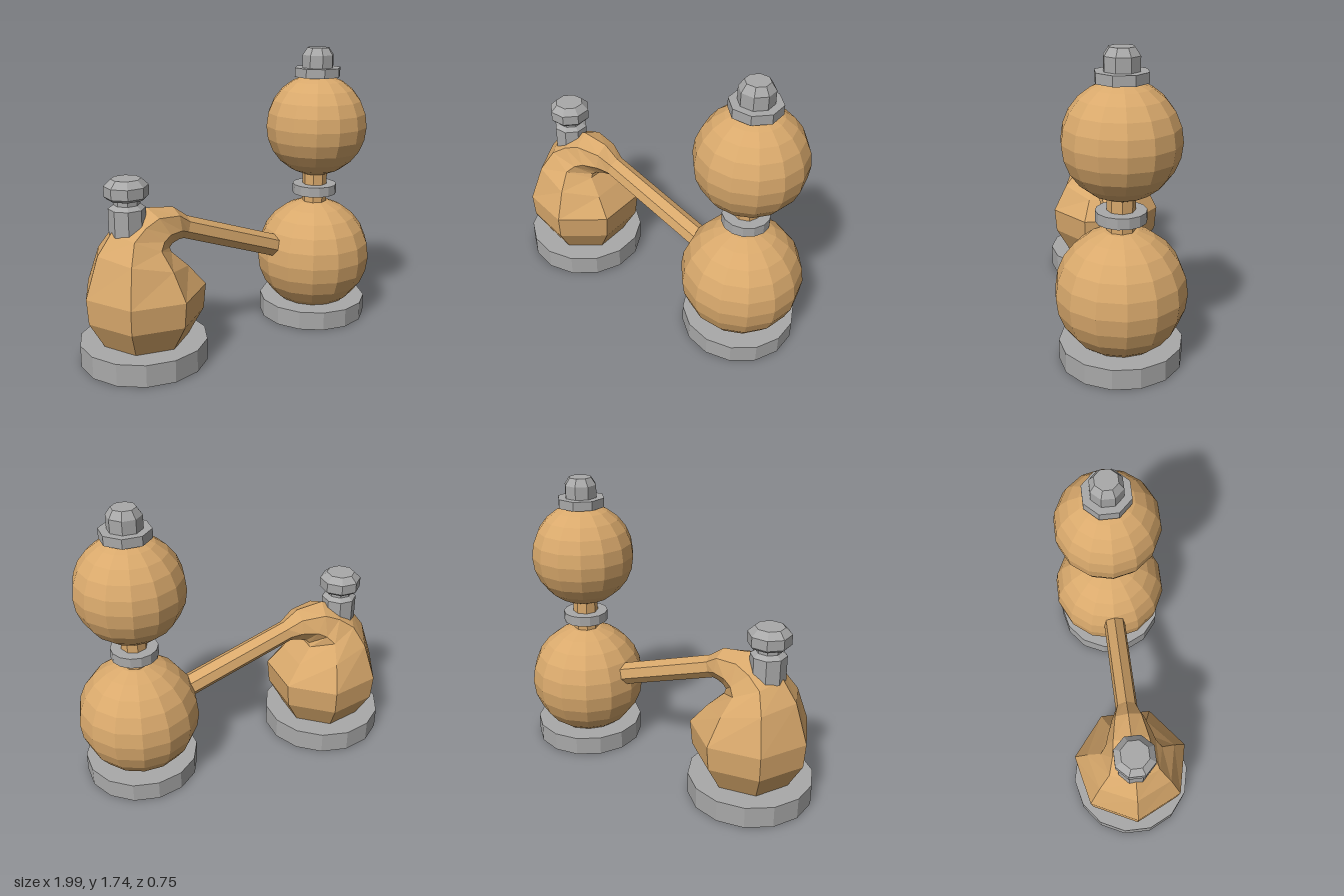
import * as THREE from 'three';

export function createModel() {
  const copper = new THREE.MeshStandardMaterial({ color: 0xd9a96c, flatShading: true });
  copper.name = 'copper';
  const steel = new THREE.MeshStandardMaterial({ color: 0xa9a9a9, flatShading: true });
  steel.name = 'steel';

  const model = new THREE.Group();
  model.name = 'still';
  const RETORT_X = -0.63, BOILER_X = 0.63;

  const add = (name, geometry, material, x = 0, y = 0) => {
    const mesh = new THREE.Mesh(geometry, material);
    mesh.name = name;
    mesh.position.set(x, y, 0);
    model.add(mesh);
    return mesh;
  };

  // Turned part from a [radius, height] profile, listed from bottom to top
  const turned = (profile, sides) => new THREE.LatheGeometry(
    profile.map(([r, y]) => new THREE.Vector2(r, y)), sides, Math.PI / sides);

  const disc = (radius, y0, y1, sides) =>
    new THREE.CylinderGeometry(radius, radius, y1 - y0, sides).translate(0, (y0 + y1) / 2, 0);

  // Seven-sided tube lofted between outer and inner outline points [ox, oy, ix, iy]
  const loft = (outline, sides = 7) => {
    const positions = [], index = [];
    const span = 1 + Math.cos(Math.PI / sides);
    for (const [ox, oy, ix, iy] of outline) {
      const r = Math.hypot(ox - ix, oy - iy) / span;
      const cx = ox + (ix - ox) / span, cy = oy + (iy - oy) / span;
      for (let j = 0; j < sides; j++) {
        const a = (j / sides) * Math.PI * 2;
        positions.push(cx + (ox - cx) * Math.cos(a), cy + (oy - cy) * Math.cos(a), r * Math.sin(a));
      }
    }
    for (let i = 0; i < outline.length - 1; i++) {
      for (let j = 0; j < sides; j++) {
        const k = (j + 1) % sides;
        const a = i * sides + j, b = i * sides + k, c = b + sides, d = a + sides;
        index.push(a, b, c, a, c, d);
      }
    }
    const geometry = new THREE.BufferGeometry();
    geometry.setAttribute('position', new THREE.Float32BufferAttribute(positions, 3));
    geometry.setIndex(index);
    geometry.computeVertexNormals();
    return geometry;
  };

  // Retort: pot that bends over into a slim pipe ending inside the boiler
  add('retortBase', disc(0.375, 0, 0.132, 14), steel, RETORT_X);
  add('retort', loft([
    [-0.875, 0.12, -0.40, 0.12],
    [-0.97, 0.29, -0.31, 0.29],
    [-0.98, 0.44, -0.297, 0.44],
    [-0.90, 0.68, -0.39, 0.56],
    [-0.81, 0.80, -0.48, 0.65],
    [-0.70, 0.87, -0.482, 0.672],
    [-0.59, 0.912, -0.46, 0.69],
    [-0.42, 0.89, -0.41, 0.70],
    [-0.325, 0.82, -0.369, 0.698],
    [0.40, 0.557, 0.356, 0.43],
  ]), copper);

  // Valve bolt on the retort shoulder
  add('retortValve', turned([
    [0, 0.78], [0.105, 0.78], [0.105, 0.93], [0.075, 0.952], [0.075, 0.975],
    [0.11, 0.985], [0.125, 1.0], [0.125, 1.06], [0.085, 1.098], [0, 1.098],
  ], 8), steel, -0.71);

  // Boiler: two stacked globes joined by a collared neck
  add('boilerBase', disc(0.345, 0, 0.117, 14), steel, BOILER_X);
  add('lowerGlobe', new THREE.SphereGeometry(0.366, 14, 12), copper, BOILER_X, 0.41);
  add('neck', disc(0.078, 0.74, 0.97, 8), copper, BOILER_X);
  add('neckCollar', disc(0.14, 0.818, 0.88, 14), steel, BOILER_X);
  add('upperGlobe', new THREE.SphereGeometry(0.32, 14, 12), copper, BOILER_X, 1.26);

  // Cap on the upper globe
  add('capFlange', turned([[0, 1.566], [0.147, 1.566], [0.147, 1.622], [0, 1.622]], 8), steel, BOILER_X);
  add('capKnob', turned([
    [0.1, 1.61], [0.1, 1.70], [0.07, 1.744], [0, 1.744],
  ], 8), steel, BOILER_X);

  return model;
}
